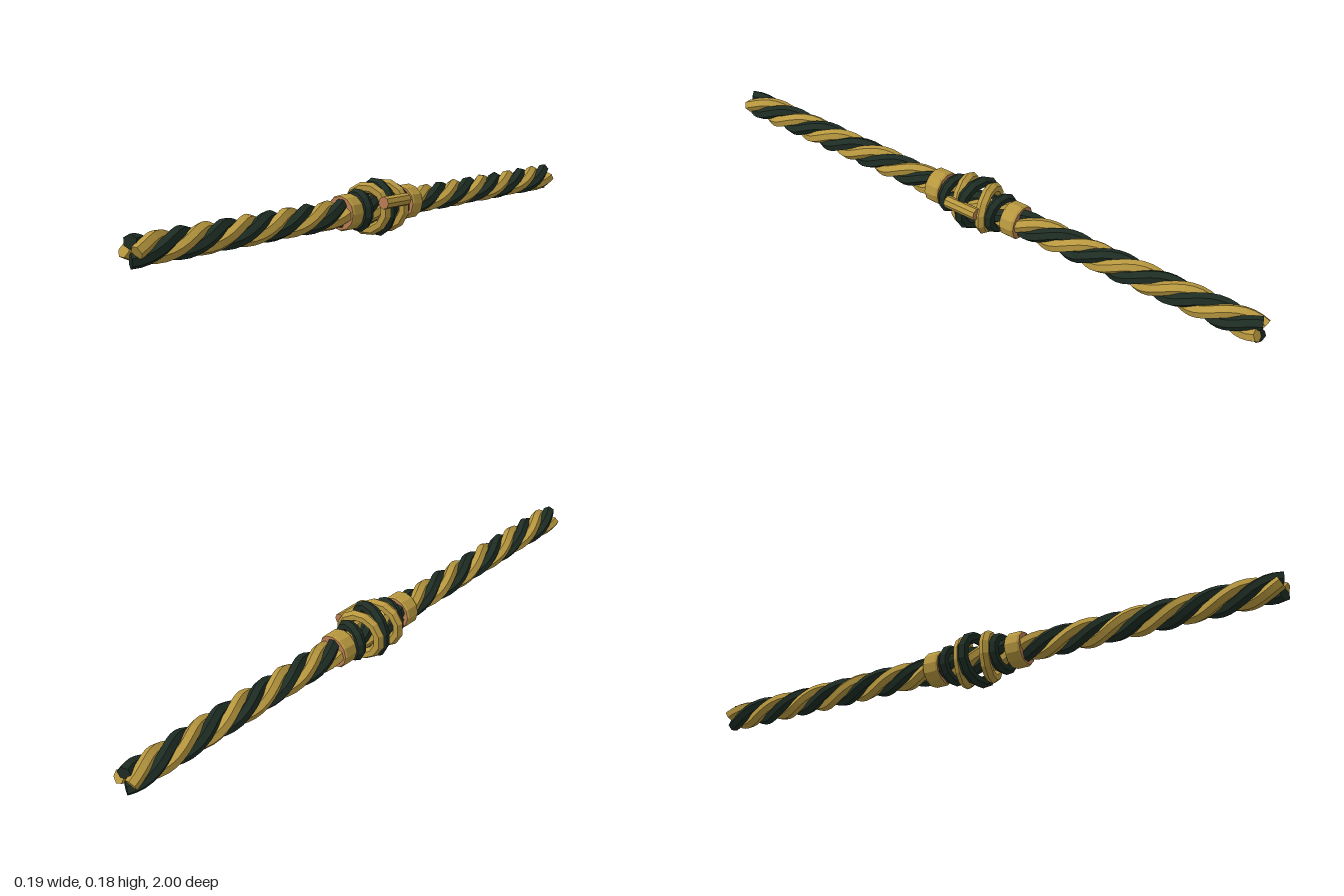
import * as THREE from 'three';

const CX = -0.003, CY = 0.094;   // axis of the rope
const HALF = 0.991, TURNS = 6;

const mat = (name, color) => {
  const m = new THREE.MeshStandardMaterial({ color, flatShading: true });
  m.name = name;
  return m;
};

// Flat end cap over one ring of a tube
function ringCap(tube, ring, sides, flip) {
  const p = tube.attributes.position, start = ring * (sides + 1), verts = [];
  const at = i => [p.getX(start + i), p.getY(start + i), p.getZ(start + i)];
  for (let i = 1; i < sides - 1; i++) {
    verts.push(...at(0), ...(flip ? at(i + 1) : at(i)), ...(flip ? at(i) : at(i + 1)));
  }
  const g = new THREE.BufferGeometry();
  g.setAttribute('position', new THREE.Float32BufferAttribute(verts, 3));
  g.computeVertexNormals();
  return g;
}

class Helix extends THREE.Curve {
  constructor(phase) { super(); this.phase = phase; }
  getPoint(t, target = new THREE.Vector3()) {
    const a = this.phase + t * TURNS * Math.PI * 2;
    return target.set(0.026 * Math.cos(a), 0.026 * Math.sin(a), HALF * (1 - 2 * t));
  }
}

export function createModel() {
  const gold = mat('gold', 0xb8983f);
  const dark = mat('dark green', 0x1e2d24);
  const copper = mat('copper', 0xb97c54);
  const capMat = copper.clone();
  capMat.name = 'copper';
  const model = new THREE.Group();
  model.name = 'knottedRope';
  const add = (parent, geo, material, name) => {
    const m = new THREE.Mesh(geo, material);
    m.name = name;
    parent.add(m);
    return m;
  };

  const body = new THREE.Group();
  body.name = 'ropeBody';
  body.position.set(CX, CY, 0);
  model.add(body);

  // Four twisted strands, alternating in colour, with closed ends
  const segs = 96, sides = 6;
  for (let i = 0; i < 4; i++) {
    const strand = new THREE.Group();
    strand.name = 'strand' + (i + 1);
    const m = i % 2 ? dark : gold;
    const tube = new THREE.TubeGeometry(new Helix(i * Math.PI / 2), segs, 0.021, sides);
    add(strand, tube, m, 'strandSide');
    // Caps are thin, so both faces are shown
    const capM = m.clone();
    capM.side = THREE.DoubleSide;
    add(strand, ringCap(tube, 0, sides, true), capM, 'strandFrontEnd');
    add(strand, ringCap(tube, segs, sides, false), capM, 'strandBackEnd');
    body.add(strand);
  }

  // Knot: slanted rings, widest in the middle [z, radius, thickness, tilt, material]
  const rings = [
    [0, 0.075, 0.019, -0.22, dark],
    [0.046, 0.068, 0.018, 0.2, gold],
    [-0.046, 0.068, 0.018, 0.2, gold],
    [0.09, 0.051, 0.018, -0.2, dark],
    [-0.09, 0.051, 0.018, -0.2, dark],
  ];
  for (const [z, radius, thick, tilt, m] of rings) {
    const ring = add(body, new THREE.TorusGeometry(radius, thick, 6, 12), m, 'knotRing');
    ring.position.z = z;
    ring.rotation.set(0, tilt, Math.PI / 12);
  }

  // Collars on both sides of the knot: gold band, copper ends
  for (const s of [1, -1]) {
    const collar = new THREE.Group();
    collar.name = s > 0 ? 'frontCollar' : 'backCollar';
    const band = new THREE.LatheGeometry(
      [[0.053, -0.026], [0.057, -0.02], [0.057, 0.02], [0.053, 0.026]].map(p => new THREE.Vector2(...p)), 12);
    add(collar, band, gold, 'collarBand');
    for (const e of [1, -1]) {
      const end = add(collar, new THREE.CircleGeometry(0.053, 12), copper, 'collarEnd');
      end.position.y = e * 0.026;
      end.rotation.x = -e * Math.PI / 2;
    }
    collar.rotation.x = Math.PI / 2;
    collar.position.z = s * 0.148;
    body.add(collar);
  }

  // Small toggle pin lying along the knot
  const pin = add(model, new THREE.CylinderGeometry(0.02, 0.02, 0.115, 8), [gold, copper, copper], 'togglePin');
  pin.rotation.x = Math.PI / 2;
  pin.position.set(0.076, 0.12, 0.003);

  return model;
}
